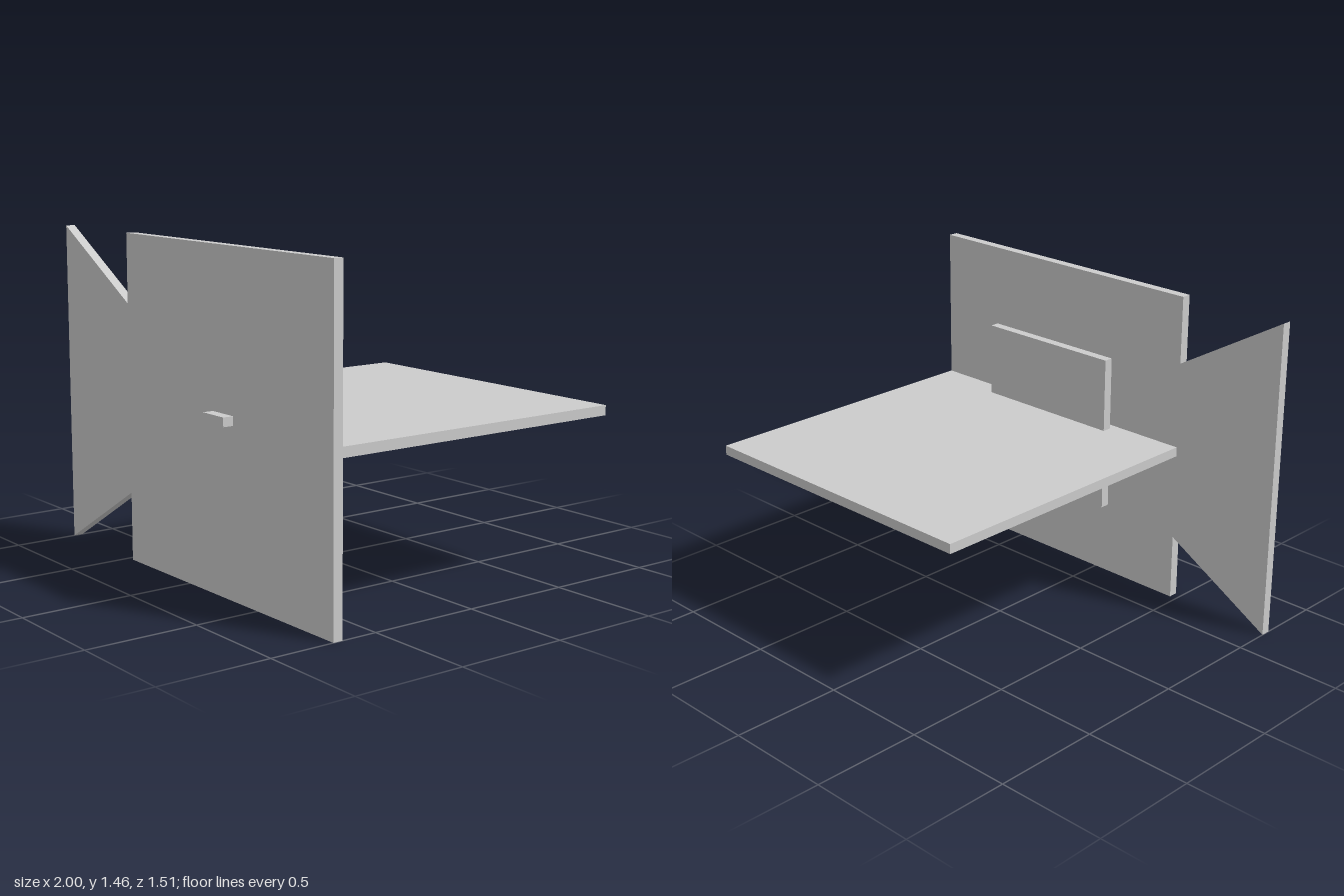
import * as THREE from 'three';

const material = new THREE.MeshStandardMaterial({ color: 0xcccccc, flatShading: true });

export function createModel() {
  const group = new THREE.Group();

  function add(name, geometry) {
    const mesh = new THREE.Mesh(geometry, material);
    mesh.name = name;
    group.add(mesh);
    return mesh;
  }

  // Box given by its lower and upper corners
  function slab(name, [x0, y0, z0], [x1, y1, z1]) {
    add(name, new THREE.BoxGeometry(x1 - x0, y1 - y0, z1 - z0))
      .position.set((x0 + x1) / 2, (y0 + y1) / 2, (z0 + z1) / 2);
  }

  // Upright panel: a square with a flared tail on the right
  const outline = [
    [1, 0], [1, 1.464], [-0.467, 1.464], [-0.467, 1.156],
    [-1, 1.464], [-1, 0], [-0.467, 0.308], [-0.467, 0],
  ];
  const shape = new THREE.Shape(outline.map(([x, y]) => new THREE.Vector2(x, y)));
  add('frontPanel', new THREE.ExtrudeGeometry(shape, { depth: 0.044, bevelEnabled: false }))
    .position.z = 0.663;

  // Horizontal shelf running back from the panel
  slab('shelf', [-0.467, 0.712, -0.755], [1, 0.756, 0.663]);

  // Paddle behind the panel, crossing the shelf, and the peg that carries it
  slab('paddle', [-0.1, 0.368, 0.582], [0.632, 1.1, 0.625]);
  slab('peg', [0.193, 0.737, 0.625], [0.339, 0.777, 0.755]);

  return group;
}
